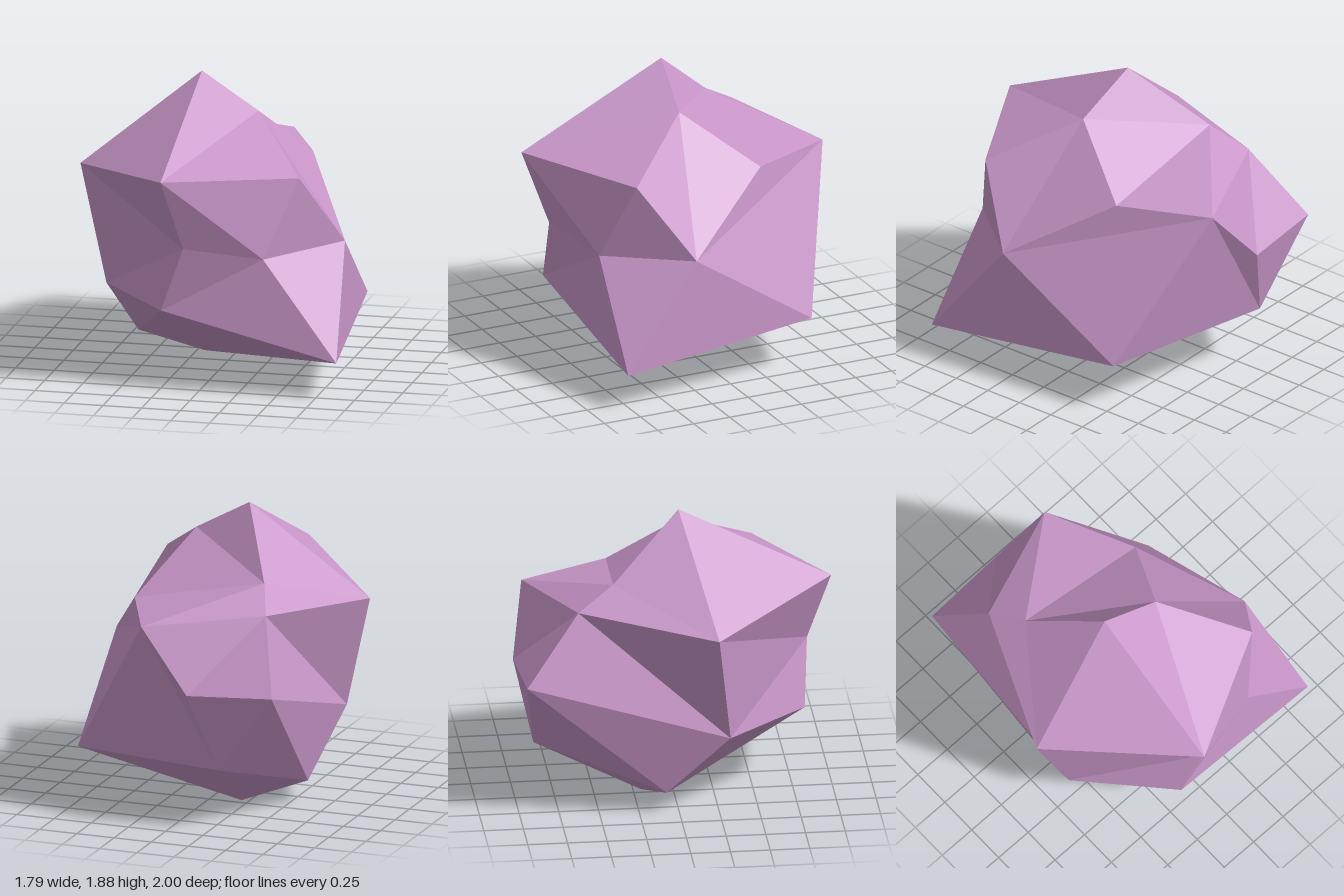
import * as THREE from 'three';

// Corners of the boulder
const corners = {
  peak: [-0.16, 1.88, 0.04], shoulderL: [-0.9, 1.28, 0.22], brow: [-0.19, 1.4, 1.0],
  shoulderR: [0.6, 1.37, 0.58], flankR: [0.82, 0.9, 0.27], toeR: [0.89, 0.24, 0.78],
  dent: [0.41, 0.875, 0.75], hollow: [-0.08, 0.94, 0.86], chin: [-0.23, 0.525, 0.83],
  flankL: [-0.71, 0.54, 0.31], footL: [-0.6, 0.14, -0.08], base: [-0.2, 0, -0.2],
  crest: [0.22, 1.66, 0.1], ledgeR: [0.46, 1.3, -0.35], ledgeL: [-0.43, 1.5, -0.4],
  backTop: [0.2, 1.29, -0.91], back: [-0.14, 0.9, -1.0], backFoot: [-0.31, 0.4, -0.89],
  backL: [-0.7, 0.93, -0.97], heelR: [0.76, 0.35, -0.56], saddle: [-0.53, 1.36, -0.63],
};

// Fans of facets: a hub corner and its rim, counter-clockwise from outside
const fans = [
  ['brow', 'peak shoulderL hollow dent shoulderR crest peak'],
  ['dent', 'hollow chin toeR flankR shoulderR'],
  ['flankR', 'toeR heelR backTop ledgeR crest shoulderR'],
  ['flankL', 'chin hollow shoulderL saddle backL footL chin'],
  ['base', 'chin footL backFoot heelR toeR chin'],
  ['ledgeL', 'shoulderL peak crest ledgeR backTop saddle shoulderL'],
  ['backFoot', 'footL backL back backTop heelR'],
  ['saddle', 'backTop back backL'],
];

export function createModel() {
  const stone = new THREE.MeshStandardMaterial({ color: 0xc896c8, flatShading: true });
  stone.name = 'mauve stone';

  const positions = [];
  for (const [hub, rimNames] of fans) {
    const rim = rimNames.split(' ');
    for (let i = 0; i < rim.length - 1; i++) {
      positions.push(...corners[hub], ...corners[rim[i]], ...corners[rim[i + 1]]);
    }
  }
  const geometry = new THREE.BufferGeometry();
  geometry.setAttribute('position', new THREE.Float32BufferAttribute(positions, 3));
  geometry.computeVertexNormals(); // unshared corners give flat facets

  const boulder = new THREE.Mesh(geometry, stone);
  boulder.name = 'boulder';
  const group = new THREE.Group();
  group.name = 'rock';
  group.add(boulder);
  return group;
}
